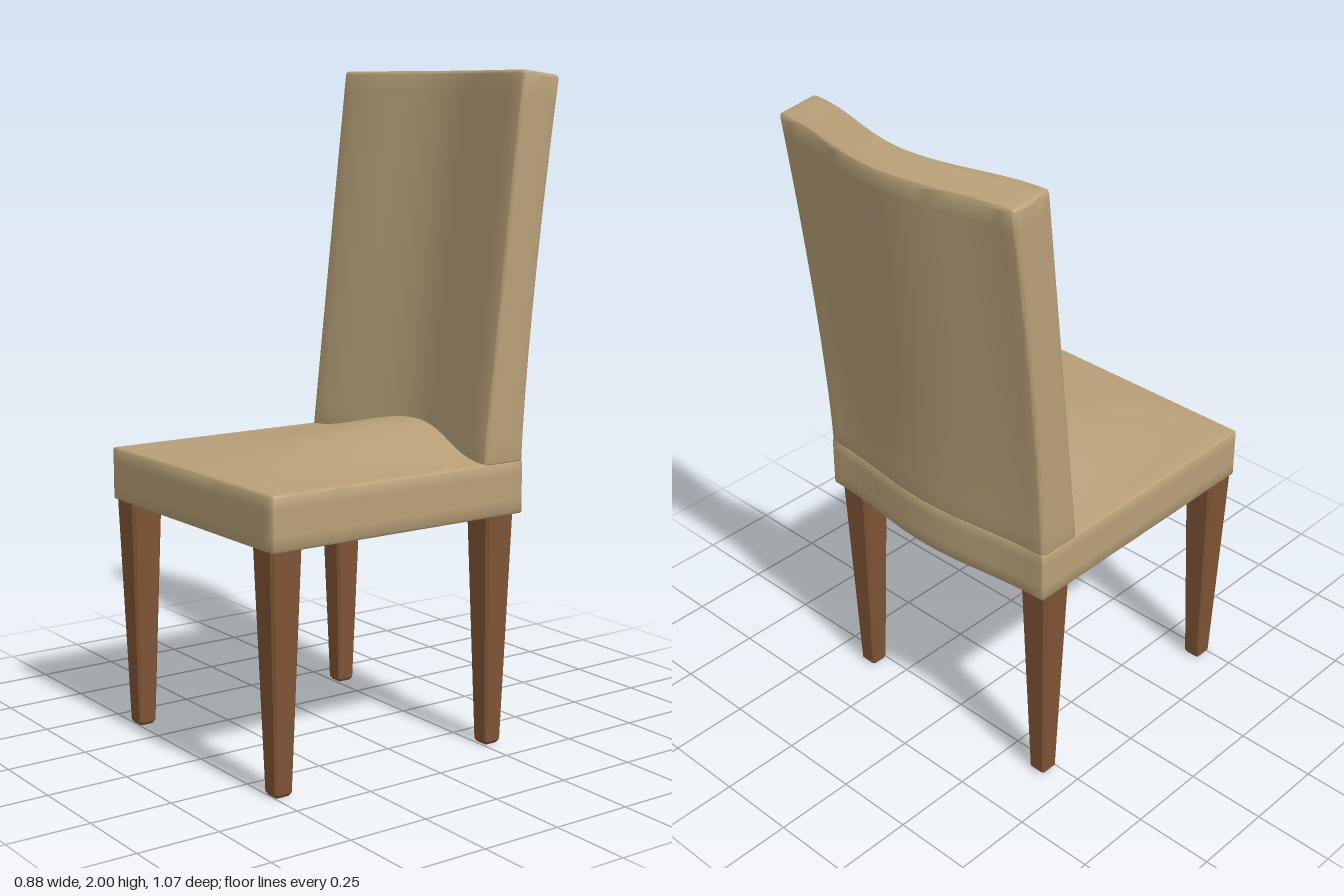
import * as THREE from 'three';
import { toCreasedNormals, mergeVertices } from 'three/addons/utils/BufferGeometryUtils.js';

const HALF = 0.438;
const fabric = new THREE.MeshStandardMaterial({ color: 0xb8a078 });
fabric.name = 'beige fabric';
const wood = new THREE.MeshStandardMaterial({ color: 0x7f5436 });
wood.name = 'brown wood';

// 1 on the centre line, easing to 0 at both sides
const bump = (x) => Math.cos((Math.PI * Math.min(Math.abs(x), HALF)) / (2 * HALF)) ** 2;
const lerp = THREE.MathUtils.lerp;

// Softly rounded, subdivided box, bent by a rule on its vertices
function softBox(size, segs, r, rule) {
  const g = new THREE.BoxGeometry(...size, ...segs);
  const p = g.attributes.position;
  const v = new THREE.Vector3(), q = new THREE.Vector3();
  const half = new THREE.Vector3(...size).multiplyScalar(0.5);
  const axes = ['x', 'y', 'z'];
  for (let i = 0; i < p.count; i++) {
    v.fromBufferAttribute(p, i);
    // crowd the two outer grid lines into the rounded border
    axes.forEach((a, k) => {
      const n = segs[k], h = half[a];
      const j = Math.round(((v[a] + h) / (2 * h)) * n);
      const e = Math.min(j, n - j);
      const d = e < 3 ? e * r / 2 : lerp(r, h, (e - 2) / (n / 2 - 2));
      v[a] = j < n / 2 ? -h + d : h - d;
      q[a] = THREE.MathUtils.clamp(v[a], -h + r, h - r);
    });
    v.sub(q).normalize().multiplyScalar(r).add(q);
    rule(v);
    p.setXYZ(i, v.x, v.y, v.z);
  }
  g.deleteAttribute('uv');
  g.deleteAttribute('normal');
  return toCreasedNormals(mergeVertices(g, 1e-5), 0.9);
}

// Seat: crowned towards the back, with a bowed rear edge
function seatGeometry() {
  const y0 = 0.71, y1 = 0.87, z0 = -0.35, z1 = 0.534;
  return softBox([2 * HALF, y1 - y0, z1 - z0], [28, 8, 24], 0.006, (v) => {
    const up = v.y / (y1 - y0) + 0.5;
    const z = v.z + (z0 + z1) / 2;
    const b = bump(v.x);
    const t = (z1 - z) / (z1 - z0);
    v.z = z - 0.037 * b * t * t;
    const lift = v.z < -0.32 ? 0 : Math.min((z1 - v.z) / 0.74, 1);
    v.y = y0 + up * (y1 - y0) + (up > 0.9 ? 0.07 * b * lift : 0);
  });
}

// Backrest: leaning, bowed backwards, flaring slightly at the top
function backrestGeometry() {
  const y0 = 0.86, y1 = 2, depth = 0.13;
  return softBox([2 * HALF, y1 - y0, depth], [28, 24, 8], 0.012, (v) => {
    const s = v.y / (y1 - y0) + 0.5;
    const t = 0.5 - v.z / depth; // 0 front, 1 rear
    const b = bump(v.x);
    const c = Math.max(s, 0) ** 1.4;
    const front = lerp(-0.205, -0.335, s) - lerp(0.07, 0.08, s) * b;
    const rear = -0.35 - 0.12 * c - lerp(0.037, 0.065, c) * b;
    v.z = lerp(front, rear, t);
    v.y = lerp(y0, y1, s) - 0.017 * t * s;
  });
}

// Leg: tapered square post with cut corners and a bevelled foot
function legGeometry() {
  const rings = [[0, 0.022], [0.01, 0.029], [0.72, 0.052]];
  const pos = [];
  const corner = ([y, h], k) => {
    const c = h * 0.8;
    const pts = [[h, c], [c, h], [-c, h], [-h, c], [-h, -c], [-c, -h], [c, -h], [h, -c]];
    const [x, z] = pts[k % 8];
    return [x, y, z];
  };
  for (let k = 0; k < 8; k++) {
    for (let i = 0; i < 2; i++) {
      const a = corner(rings[i], k), b = corner(rings[i], k + 1);
      const c = corner(rings[i + 1], k + 1), d = corner(rings[i + 1], k);
      pos.push(...a, ...c, ...b, ...a, ...d, ...c);
    }
    pos.push(0, 0, 0, ...corner(rings[0], k), ...corner(rings[0], k + 1));
    pos.push(0, 0.72, 0, ...corner(rings[2], k + 1), ...corner(rings[2], k));
  }
  const g = new THREE.BufferGeometry();
  g.setAttribute('position', new THREE.Float32BufferAttribute(pos, 3));
  g.computeVertexNormals();
  return g;
}

export function createModel() {
  const chair = new THREE.Group();
  chair.name = 'diningChair';
  const add = (name, geometry, material, x = 0, z = 0) => {
    const m = new THREE.Mesh(geometry, material);
    m.name = name;
    m.position.set(x, 0, z);
    chair.add(m);
  };
  add('seat', seatGeometry(), fabric);
  add('backrest', backrestGeometry(), fabric);

  const leg = legGeometry();
  for (const [side, x] of [['Left', 0.371], ['Right', -0.384]]) {
    add('front' + side + 'Leg', leg, wood, x, 0.474);
    add('back' + side + 'Leg', leg, wood, x, -0.282);
  }
  return chair;
}
